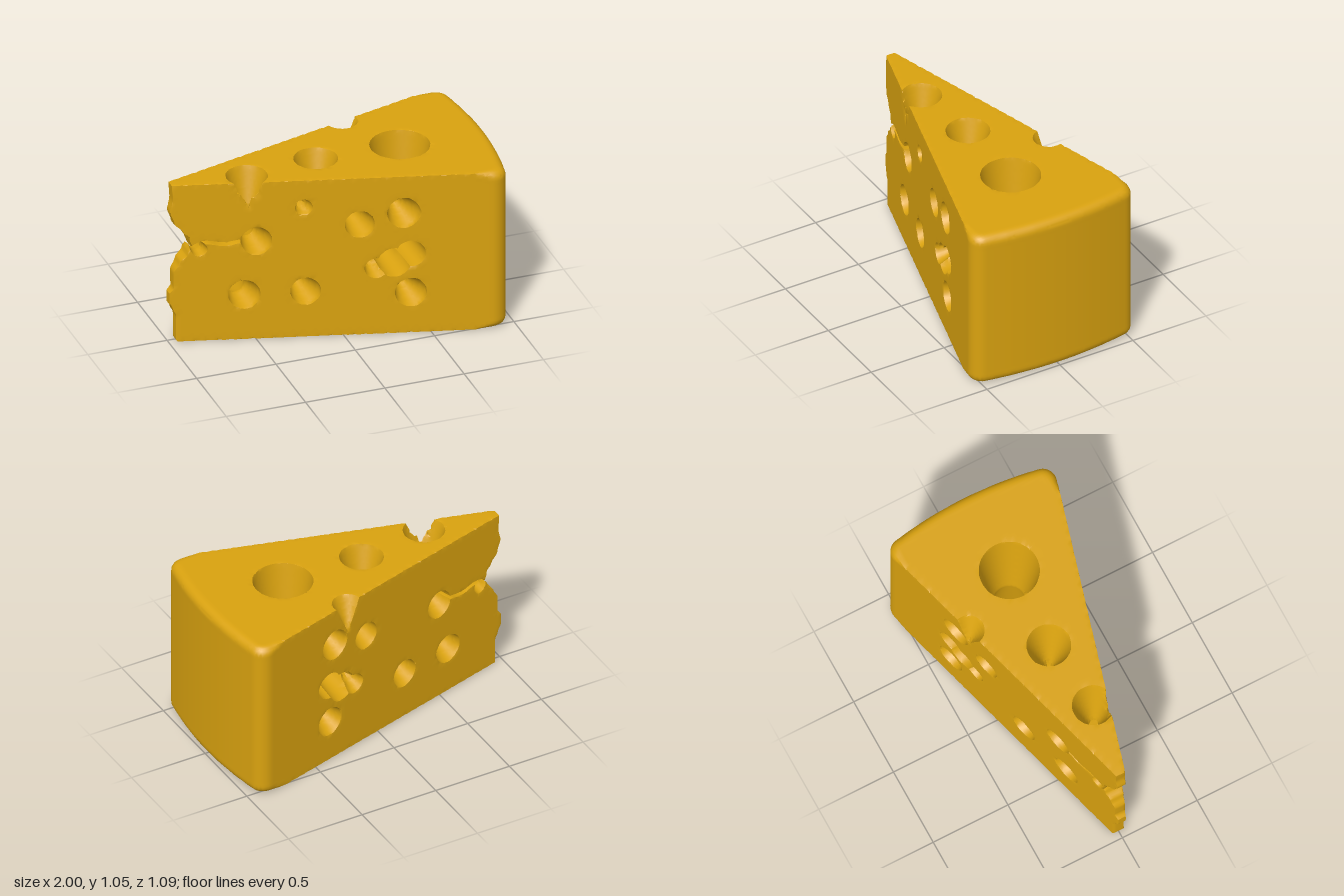
import * as THREE from 'three';
import { toCreasedNormals } from 'three/addons/utils/BufferGeometryUtils.js';

const HEIGHT = 1.05;
const clamp = THREE.MathUtils.clamp;
const halfWidth = (x) => 0.03 + 0.28 * (x + 0.98); // wedge half thickness

// Ragged tip: [y, x]
const TIP = [[0, -0.955], [0.17, -0.955], [0.22, -0.975], [0.26, -0.995], [0.32, -0.995], [0.36, -0.97],
  [0.46, -0.97], [0.53, -0.935], [0.58, -0.89], [0.64, -0.87], [0.69, -0.88], [0.74, -0.92],
  [0.79, -0.965], [0.87, -0.99], [0.95, -0.975], [1.05, -0.98]];
function tipX(y) {
  let i = 1;
  while (i < TIP.length - 1 && TIP[i][0] < y) i++;
  const [y0, x0] = TIP[i - 1], [y1, x1] = TIP[i];
  return x0 + (x1 - x0) * THREE.MathUtils.smoothstep(y, y0, y1);
}

// Tapered holes; a negative inner radius closes the hole before it meets its twin
const holes = [];
const drill = (axis, u, v, from, to, outer, inner) => holes.push({ axis, u, v, from, to, outer, inner });

// Side holes: x, y, outer radius, inner radius, front only
[
  [-0.5, 0.655, 0.092, 0.042], [-0.57, 0.3, 0.095, 0.055], [-0.22, 0.305, 0.09, 0.02],
  [-0.23, 0.87, 0.052, -0.03, true], [0.09, 0.74, 0.088, 0.013], [0.34, 0.805, 0.1, -0.05],
  [0.38, 0.27, 0.095, -0.05], [0.385, 0.53, 0.085, 0.07], [0.29, 0.475, 0.095, 0.065],
  [0.18, 0.44, 0.065, -0.05], [-0.825, 0.615, 0.045, 0.035],
].forEach(([x, y, outer, inner, frontOnly]) => {
  drill('z', x, y, halfWidth(x), 0, outer, inner);
  if (!frontOnly) drill('z', x, y, -halfWidth(x), 0, outer, inner);
});

// Upright holes from the top and the bottom
drill('y', 0.46, 0.02, HEIGHT, 0.525, 0.18, 0.095);
drill('y', 0.46, 0.02, 0, 0.525, 0.18, 0.095);
drill('y', -0.065, 0.005, HEIGHT, 0.56, 0.132, -0.02);
drill('y', -0.065, 0.005, 0, 0.49, 0.132, -0.02);
drill('y', -0.52, 0.06, HEIGHT, 0.6, 0.125, -0.01);
drill('y', 0.24, -0.37, HEIGHT, 0.8, 0.095, -0.02);

// Intersection with a rounded edge of radius r
function roundMax(a, b, r) {
  return Math.min(-r, Math.max(a, b)) + Math.hypot(Math.max(r + a, 0), Math.max(r + b, 0));
}

// Signed distance to the cheese: negative inside
function cheese(x, y, z) {
  const side = (Math.abs(z) - halfWidth(x)) * 0.963;
  const rind = Math.hypot(x + 1.5, z) - 2.5;
  const cap = Math.abs(y - HEIGHT / 2) - HEIGHT / 2;
  const rimRadius = 0.004 + 0.05 * THREE.MathUtils.smoothstep(x, 0.72, 0.9);
  let d = roundMax(roundMax(rind, side, 0.09), cap, rimRadius);
  d = Math.max(d, (tipX(y) - x) * 0.8);
  for (const h of holes) {
    const along = h.axis === 'y' ? y : z;
    const t = clamp((along - h.from) / (h.to - h.from), 0, 1);
    const radial = Math.hypot(x - h.u, (h.axis === 'y' ? z : y) - h.v);
    d = Math.max(d, (h.outer + (h.inner - h.outer) * t - radial) * 0.95);
  }
  // Thin crack running in from the tip
  const crack = Math.max(Math.abs(y - 0.652 - 0.008 * Math.sin(x * 30)) - 0.012, Math.abs(x + 0.69) - 0.14);
  return Math.max(d, -crack);
}

function gradient(p) {
  const e = 0.0015;
  return new THREE.Vector3(
    cheese(p.x + e, p.y, p.z) - cheese(p.x - e, p.y, p.z),
    cheese(p.x, p.y + e, p.z) - cheese(p.x, p.y - e, p.z),
    cheese(p.x, p.y, p.z + e) - cheese(p.x, p.y, p.z - e)).normalize();
}

// Skin a distance field with quads, one vertex per grid cell, keeping sharp edges
function skin(field, min, max, step) {
  const n = [0, 1, 2].map((a) => Math.ceil((max[a] - min[a]) / step) + 1);
  const stride = [1, n[0], n[0] * n[1]];
  const at = (i, j, k) => new THREE.Vector3(min[0] + i * step, min[1] + j * step, min[2] + k * step);
  const value = new Float32Array(n[0] * n[1] * n[2]);
  const each = (margin, fn) => {
    for (let k = margin; k < n[2] - 1; k++)
      for (let j = margin; j < n[1] - 1; j++)
        for (let i = margin; i < n[0] - 1; i++) fn(i, j, k, i + j * stride[1] + k * stride[2]);
  };
  for (let k = 0, c = 0; k < n[2]; k++)
    for (let j = 0; j < n[1]; j++)
      for (let i = 0; i < n[0]; i++, c++) {
        const p = at(i, j, k);
        value[c] = field(p.x, p.y, p.z);
      }

  const positions = [], index = [], vertexOf = new Map();
  each(0, (i, j, k, c) => {
    const cuts = [];
    for (let corner = 0; corner < 8; corner++) {
      const bits = [corner & 1, (corner >> 1) & 1, (corner >> 2) & 1];
      const c0 = c + bits[0] + bits[1] * stride[1] + bits[2] * stride[2];
      for (let a = 0; a < 3; a++) {
        if (bits[a]) continue;
        const v0 = value[c0], v1 = value[c0 + stride[a]];
        if ((v0 < 0) === (v1 < 0)) continue;
        const p = at(i + bits[0], j + bits[1], k + bits[2]);
        p.setComponent(a, p.getComponent(a) + step * v0 / (v0 - v1));
        cuts.push({ p, n: gradient(p) });
      }
    }
    if (!cuts.length) return;
    const v = new THREE.Vector3();
    cuts.forEach((cut) => v.addScaledVector(cut.p, 1 / cuts.length));
    // Slide the vertex towards the tangent planes of all its cuts
    for (let pass = 0; pass < 12; pass++) {
      const move = new THREE.Vector3();
      for (const { p, n: normal } of cuts)
        move.addScaledVector(normal, normal.dot(p.clone().sub(v)) / cuts.length);
      v.add(move);
    }
    v.clamp(at(i, j, k), at(i + 1, j + 1, k + 1));
    vertexOf.set(c, positions.length / 3);
    positions.push(v.x, v.y, v.z);
  });
  each(1, (i, j, k, c) => {
    for (let a = 0; a < 3; a++) {
      const inside = value[c] < 0;
      if (inside === (value[c + stride[a]] < 0)) continue;
      const b = stride[(a + 1) % 3], d = stride[(a + 2) % 3];
      const q = [c, c - b, c - b - d, c - d].map((cell) => vertexOf.get(cell));
      if (!inside) q.reverse();
      index.push(q[0], q[1], q[2], q[0], q[2], q[3]);
    }
  });
  const geometry = new THREE.BufferGeometry();
  geometry.setAttribute('position', new THREE.Float32BufferAttribute(positions, 3));
  geometry.setIndex(index);
  return toCreasedNormals(geometry, 0.6);
}

export function createModel() {
  const yellow = new THREE.MeshStandardMaterial({ color: 0xd9a20f });
  yellow.name = 'cheese yellow';
  const wedge = new THREE.Mesh(skin(cheese, [-1.04, -0.043, -0.601], [1.05, 1.1, 0.6], 0.018), yellow);
  wedge.name = 'cheeseWedge';
  const model = new THREE.Group();
  model.name = 'cheese';
  model.add(wedge);
  return model;
}
